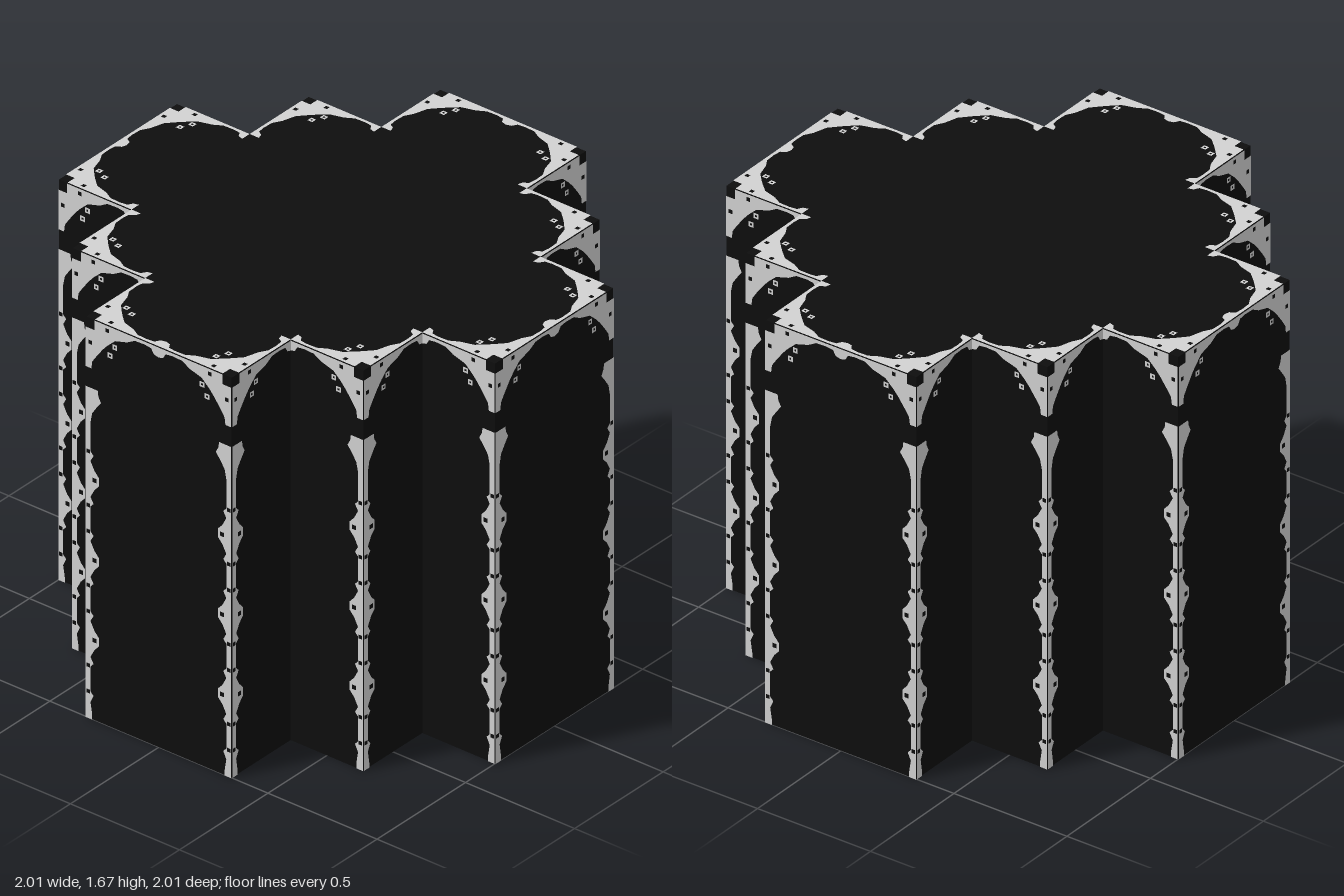
import * as THREE from 'three';

const H = 5 / 3, C = 1 / 3, E = 0.003;

export function createModel() {
  const group = new THREE.Group();
  const black = new THREE.MeshStandardMaterial({ color: 0x0d0d0d });
  const pale = new THREE.MeshStandardMaterial({ color: 0xd2d2d2 });

  // Stepped cross outline, three cells per quarter
  const quarter = [[1, 0.5], [1, 1], [2 / 3, 1], [2 / 3, 2], [1 / 3, 2]];
  const corners = [[C, 1], [2 * C, 2 * C], [1, C]];
  const outline = [];
  for (let q = 0; q < 4; q++) {
    const turn = new THREE.Vector2();
    [[3, 1], [2, 1], [2, 2], [1, 2], [1, 3]].forEach(([x, y]) => {
      outline.push(new THREE.Vector2(x * C, y * C).rotateAround(turn, q * Math.PI / 2));
    });
  }
  const r = C;
  const hollow = new THREE.Path([[-r, -r], [-r, r], [r, r], [r, -r]].map(p => new THREE.Vector2(...p)));

  const slab = (name, y, height, hole) => {
    const shape = new THREE.Shape(outline);
    if (hole) shape.holes.push(hole);
    const geo = new THREE.ExtrudeGeometry(shape, { depth: height, bevelEnabled: false });
    geo.rotateX(-Math.PI / 2);
    const mesh = new THREE.Mesh(geo, black);
    mesh.name = name;
    mesh.position.y = y;
    group.add(mesh);
  };
  // Hollow lower body under a solid cap
  slab('hollowBody', 0, 4 * C, hollow);
  slab('topCap', 4 * C, C);

  // Trim profiles: u runs inward from the corner edge, d down from the top edge
  const arm = [[C, 0], [C, 0.042], [0.312, 0.036], [0.3, 0.016], [0.27, 0.012],
    [0.225, 0.014], [0.19, 0.034], [0.135, 0.05], [0.1, 0.082]];
  const notch = [[0, 0.04], [0.04, 0.04], [0.04, 0]];
  const topTrim = [...arm, ...arm.map(([u, d]) => [d, u]).reverse(), ...notch];
  const wallTrim = [...arm, [0.078, 0.107], [0.05, 0.145], [0.03, 0.175], [0.026, 0.205], [0, 0.205], ...notch];

  // Scalloped strip down each outer edge, one bump per cell
  const strip = [[0, 0.287], [0.055, 0.287], [0.058, 0.31], [0.07, 0.333], [0.05, 0.36], [0.03, 0.39], [0.022, 0.43]];
  for (let i = 1; i <= 4; i++) {
    const y = (i + 1) * C;
    if (i < 4) strip.push([0.022, y - 0.115], [0.036, y - 0.1], [0.022, y - 0.075], [0.04, y - 0.04],
      [0.06, y - 0.018], [0.06, y + 0.018], [0.04, y + 0.04], [0.022, y + 0.075], [0.036, y + 0.1], [0.022, y + 0.115]);
    else strip.push([0.022, y - 0.115], [0.036, y - 0.1], [0.022, y - 0.07], [0.03, y - 0.02], [0.03, y], [0, y]);
  }
  const square = (u, d, w) => [[u, d], [u + w, d], [u + w, d + w], [u, d + w]];
  const stripSpecks = [];
  for (let i = 1; i <= 4; i++) {
    stripSpecks.push(square(0.003, (i + 1) * C - 0.12, 0.016));
    if (i < 4) stripSpecks.push(square(0.003, (i + 1) * C + 0.105, 0.016),
      square(0.032, (i + 1) * C - 0.009, 0.018));
  }
  const topSpecks = [square(0.012, 0.09, 0.016), square(0.09, 0.012, 0.016)];
  const ring = (u, d) => [square(u, d, 0.022), [square(u + 0.007, d + 0.007, 0.008)]];

  // Flat trim geometry, with su and sd choosing the direction of u and d
  const flat = (su, sd, points, holes = []) => {
    const map = list => list.map(([u, d]) => new THREE.Vector2(su * u, sd * d));
    const shape = new THREE.Shape(map(points));
    holes.forEach(h => shape.holes.push(new THREE.Path(map(h))));
    return new THREE.ShapeGeometry(shape);
  };
  const set = (su, sd, isTop) => {
    const parts = [flat(su, sd, isTop ? topTrim : wallTrim, topSpecks),
      flat(su, sd, ...ring(0.122, 0.066)), flat(su, sd, ...ring(0.1, 0.108))];
    if (!isTop) parts.push(flat(su, sd, strip, stripSpecks));
    return parts;
  };
  const frontSet = set(-1, -1, false);
  const sideSet = set(1, -1, false).map(g => g.rotateY(Math.PI / 2));
  const topSet = set(-1, 1, true).map(g => g.rotateX(-Math.PI / 2));

  // Three outer corners per quarter, turned four times
  for (let q = 0; q < 4; q++) {
    const side = new THREE.Group();
    side.name = 'cornerTrim' + (q + 1);
    side.rotation.y = q * Math.PI / 2;
    const place = (name, geos, x, y, z) => geos.forEach(geo => {
      const mesh = new THREE.Mesh(geo, pale);
      mesh.name = name;
      mesh.position.set(x, y, z);
      side.add(mesh);
    });
    for (const [x, z] of corners) {
      place('frontEdgeTrim', frontSet, x, H, z + E);
      place('sideEdgeTrim', sideSet, x + E, H, z);
      place('topEdgeTrim', topSet, x, H + E, z);
    }
    group.add(side);
  }
  return group;
}
